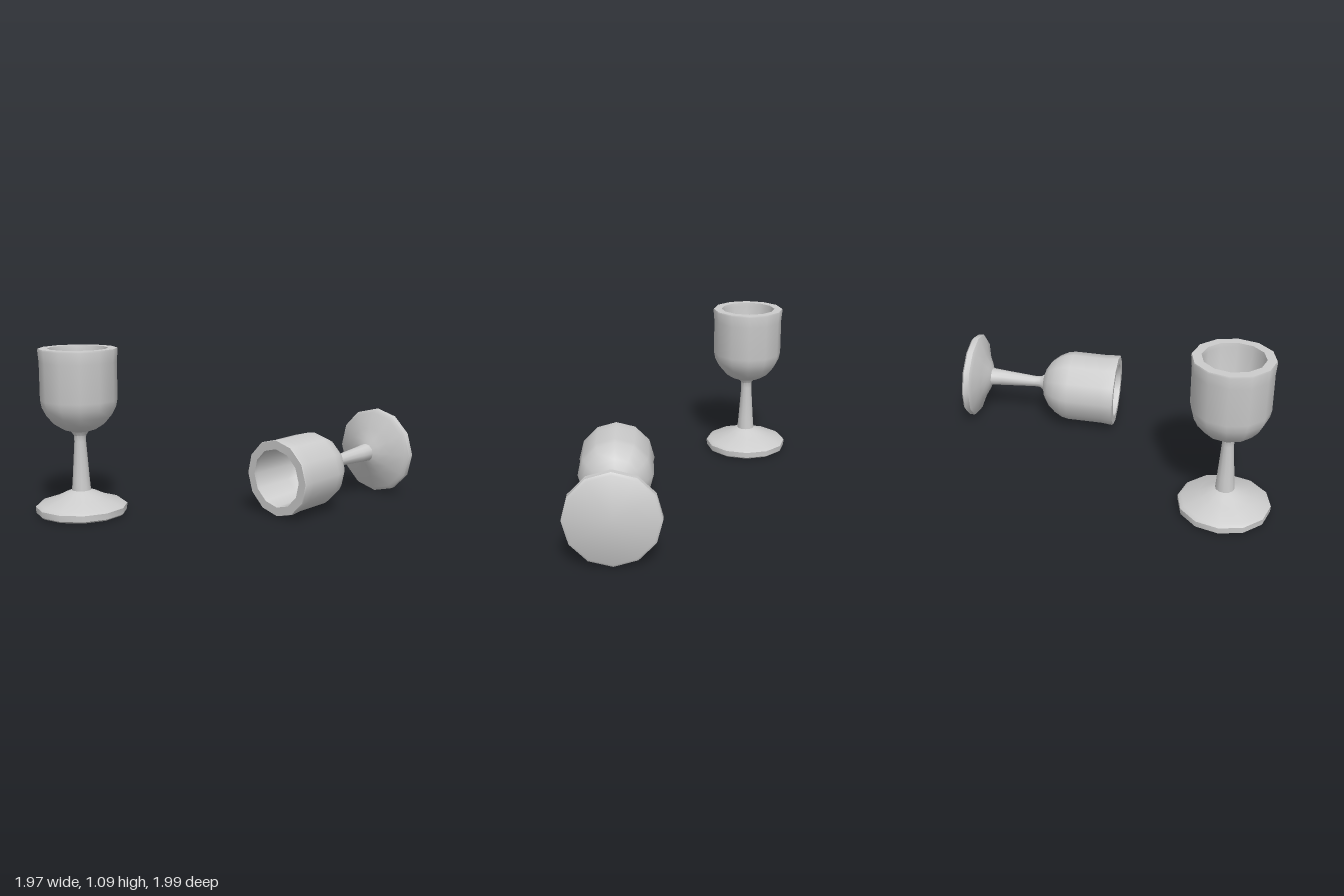
import * as THREE from 'three';
import { toCreasedNormals } from 'three/addons/utils/BufferGeometryUtils.js';

const SIDES = 12;
const material = new THREE.MeshStandardMaterial({ color: 0xcccccc });
const deg = THREE.MathUtils.degToRad;

// Profiles as [radius, height], running up the outside
const profiles = {
  foot: [[0, 0.003], [0.28, 0.003], [0.296, 0.015], [0.298, 0.055], [0.275, 0.072],
    [0.17, 0.107], [0.105, 0.14], [0.062, 0.157]],
  stem: [[0.062, 0.157], [0.055, 0.24], [0.038, 0.48], [0.04, 0.52], [0.06, 0.548]],
  // Outer wall, rim, then down the inside to the bottom of the cup
  bowl: [[0.06, 0.548], [0.11, 0.563], [0.165, 0.597], [0.21, 0.65], [0.238, 0.705], [0.248, 0.755],
    [0.248, 1.0], [0.255, 1.075], [0.252, 1.086],
    [0.194, 1.086], [0.19, 1.06], [0.185, 0.8], [0.165, 0.73], [0.12, 0.675], [0.06, 0.65], [0, 0.645]],
};

function lathePart(name, profile) {
  const points = profile.map(([r, y]) => new THREE.Vector2(r, y));
  const geometry = toCreasedNormals(new THREE.LatheGeometry(points, SIDES), deg(42));
  const mesh = new THREE.Mesh(geometry, material);
  mesh.name = name;
  return mesh;
}

function goblet(name) {
  const group = new THREE.Group();
  group.name = name;
  for (const [part, profile] of Object.entries(profiles)) group.add(lathePart(part, profile));
  return group;
}

export function createModel() {
  const model = new THREE.Group();
  model.name = 'goblets';

  // Upright goblet
  const standing = goblet('standingGoblet');
  standing.position.set(-0.694, 0, 0.706);
  standing.rotation.y = deg(13);

  // Goblet on its side, resting on the edges of its rim and foot
  const lying = goblet('lyingGoblet');
  lying.position.set(0.697, 0.299, -0.932);
  lying.rotation.set(deg(92.3), deg(-13.7), 0, 'YXZ');

  model.add(standing, lying);
  return model;
}
